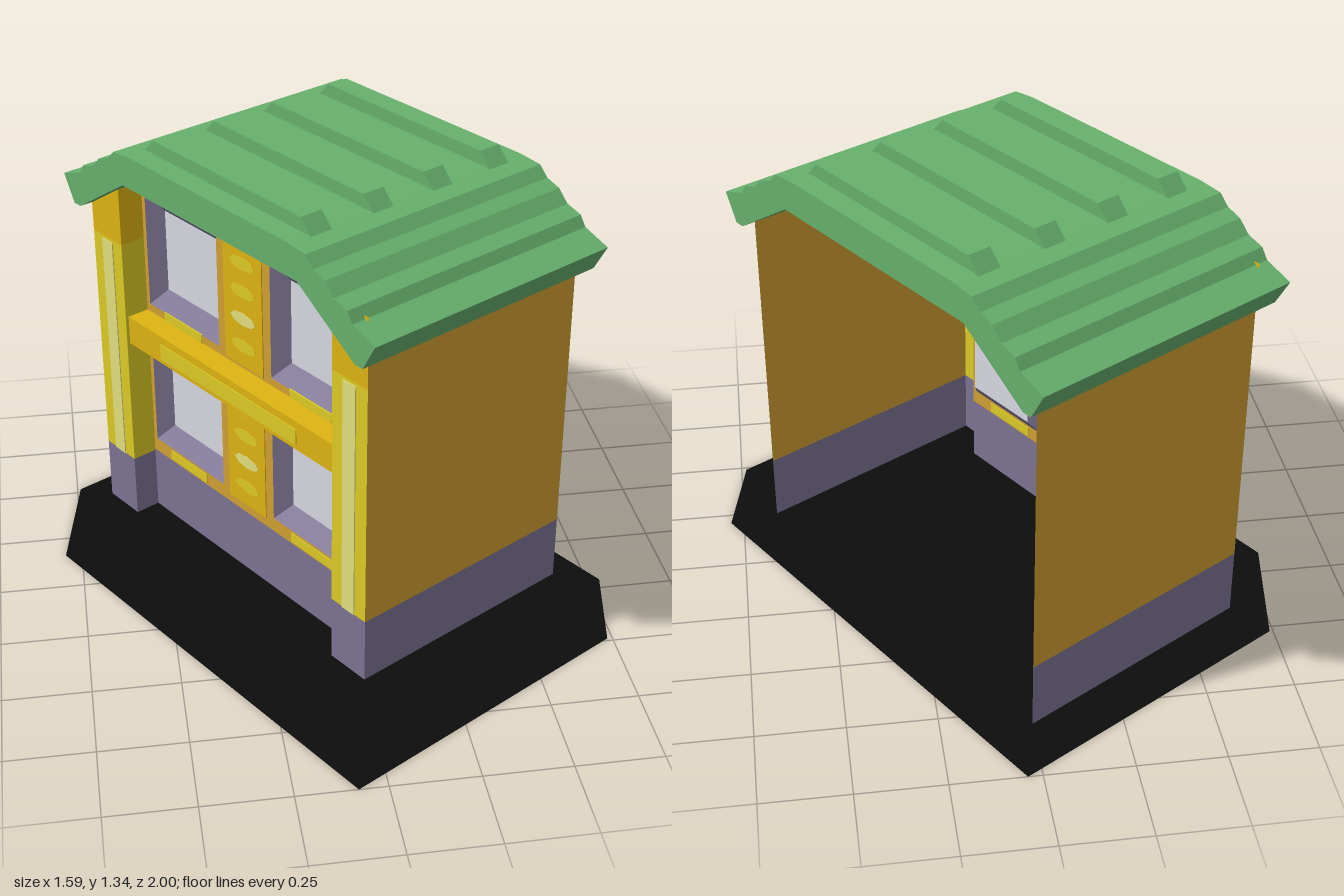
import * as THREE from 'three';

const mat = (name, color, side = THREE.DoubleSide) => {
  const m = new THREE.MeshStandardMaterial({ color, side });
  m.name = name;
  return m;
};

export function createModel() {
  const wall = mat('ochre wall', 0xd2a032);
  const gold = mat('gold trim', 0xdfb412);
  const yellow = mat('yellow trim', 0xdccb26);
  const pale = mat('pale yellow', 0xe2df80);
  const stone = mat('purple stone', 0x7d7494);
  const glass = mat('glass', 0xd8d8e2);
  const green = mat('green roof', 0x67b06d, THREE.FrontSide);
  const black = mat('black ground', 0x0c0c0c);

  const model = new THREE.Group();
  const house = new THREE.Group();
  house.name = 'house';
  house.rotation.y = -1.0158;
  house.position.set(0.003, 0, -0.118);
  model.add(house);

  const add = (name, geo, material, parent = house) => {
    const m = new THREE.Mesh(geo, material);
    m.name = name;
    parent.add(m);
    return m;
  };
  // four-cornered faces, each given as [a, b, c, d]
  const quads = (...list) => {
    const g = new THREE.BufferGeometry();
    const pos = list.flatMap(([a, b, c, d]) => [a, b, c, a, c, d].flat());
    g.setAttribute('position', new THREE.Float32BufferAttribute(pos, 3));
    g.computeVertexNormals();
    return g;
  };
  // upright faces: across x at depth z, or along z at a given x
  const faceX = (x0, x1, y0, y1, z) => quads([[x0, y0, z], [x1, y0, z], [x1, y1, z], [x0, y1, z]]);
  const faceZ = (x, z0, z1, y0, y1) => quads([[x, y0, z1], [x, y0, z0], [x, y1, z0], [x, y1, z1]]);
  const poly = (pts) => new THREE.Shape(pts.map(([x, y]) => new THREE.Vector2(x, y)));

  const W = 0.61, D = 0.379, IN = 0.47, PZ = 0.299;
  const Y0 = 0.03, YB = 0.23, YT = 1.16;

  // ground sheet
  const ground = new THREE.ShapeGeometry(poly([
    [0.04, 1], [-0.74, 0.52], [-0.8, 0.16], [-0.08, -1], [0.735, -0.49], [0.79, -0.21]]));
  ground.rotateX(-Math.PI / 2);
  add('ground', ground, black, model);

  // end walls and corner pillars
  for (const s of [-1, 1]) {
    add('endWallBase', faceZ(s * W, -D, D, Y0, YB), stone);
    add('endWall', faceZ(s * W, -D, D, YB, YT), wall);
    const lo = Math.min(s * W, s * IN), hi = Math.max(s * W, s * IN);
    for (const [part, y0, y1, m] of [
      ['pillarBase', Y0, YB, stone], ['pillarShaft', YB, 0.97, yellow], ['pillarHead', 0.97, YT + 0.02, gold]]) {
      add(part, faceX(lo, hi, y0, y1, D), m);
      add(part + 'Return', faceZ(s * IN, PZ, D, y0, y1), m);
    }
    const stripe = add('pillarStripe', new THREE.BoxGeometry(0.05, 0.73, 0.006), pale);
    stripe.position.set(s * 0.54, 0.595, D);
  }

  // recessed facade in two storeys, with window openings
  add('facadeBase', faceX(-IN, IN, Y0, 0.235, PZ), stone);
  const storeys = [{ y0: 0.235, y1: 0.68, w0: 0.28, w1: 0.64 }, { y0: 0.73, y1: 1.185, w0: 0.755, w1: 1.117 }];
  for (const { y0, y1, w0, w1 } of storeys) {
    const shape = poly([[-IN, y0], [IN, y0], [IN, y1], [-IN, y1]]);
    for (const s of [-1, 1]) {
      const a = s < 0 ? -0.455 : 0.118, b = a + 0.337;
      shape.holes.push(new THREE.Path([[a, w0], [a, w1], [b, w1], [b, w0]].map((p) => new THREE.Vector2(...p))));
      // sloping frame running in to the pane
      const i = 0.042, j = 0.052, g = PZ - 0.04;
      const outer = [[a, w0, PZ], [b, w0, PZ], [b, w1, PZ], [a, w1, PZ]];
      const inner = [[a + i, w0 + j, g], [b - i, w0 + j, g], [b - i, w1 - j, g], [a + i, w1 - j, g]];
      add('windowFrame', quads(...outer.map((p, k) => {
        const n = (k + 1) % 4;
        return [p, outer[n], inner[n], inner[k]];
      })), stone);
      add('windowPane', quads(inner), glass);
      const dash = add('footTrim', new THREE.BoxGeometry(0.18, 0.03, 0.006), yellow);
      dash.position.set(s * 0.29, (y0 + w0) / 2, PZ);
    }
    add('facadeWall', new THREE.ShapeGeometry(shape), wall).position.z = PZ;

    // ornamental strip between the windows
    const strip = add('centreStrip', new THREE.BoxGeometry(0.17, w1 - w0 + 0.03, 0.006), gold);
    strip.position.set(0, (w0 + w1) / 2, PZ);
    for (let k = 0; k < 4; k++) {
      const boss = add('stripBoss', new THREE.CylinderGeometry(1, 1, 0.009, 8), k === 1 ? pale : yellow);
      boss.rotation.x = Math.PI / 2;
      boss.scale.set(0.055, 1, 0.02);
      boss.position.set(0, w0 + 0.05 + k * 0.087, PZ);
    }
  }

  // ledge between storeys, open at the back
  const F = PZ + 0.07;
  add('ledge', quads(
    [[-IN, 0.64, F], [IN, 0.64, F], [IN, 0.73, F], [-IN, 0.73, F]],
    [[-IN, 0.73, F], [IN, 0.73, F], [IN, 0.73, PZ], [-IN, 0.73, PZ]],
    [[-IN, 0.64, PZ], [IN, 0.64, PZ], [IN, 0.64, F], [-IN, 0.64, F]]), gold);
  add('ledgePanel', new THREE.BoxGeometry(0.62, 0.05, 0.006), yellow).position.set(0, 0.68, F);

  // stepped roof, extruded from half a profile mirrored end to end
  const R = 0.682, RD = 0.844;
  const half = [[0.3, 1.205], [0.075, 1.06], [0.045, 1.06], [0, 1.14], [0.085, 1.17], [0.105, 1.2],
    [0.155, 1.215], [0.19, 1.25], [0.235, 1.265], [0.265, 1.295], [0.34, 1.302]];
  const left = half.map(([t, y]) => [t - R, y]);
  const right = half.map(([t, y]) => [R - t, y]).reverse();
  const extrude = (pts, depth) => new THREE.ExtrudeGeometry(poly(pts), { depth, bevelEnabled: false })
    .translate(0, 0, -depth / 2);
  add('roof', extrude([...left, ...right], RD), green);

  // raised ribs on the roof
  for (const z of [-0.32, -0.107, 0.107, 0.32]) {
    add('roofRib', extrude([[-0.37, 1.29], [0.37, 1.29], [0.32, 1.342], [-0.32, 1.342]], 0.07), green).position.z = z;
  }
  return model;
}
